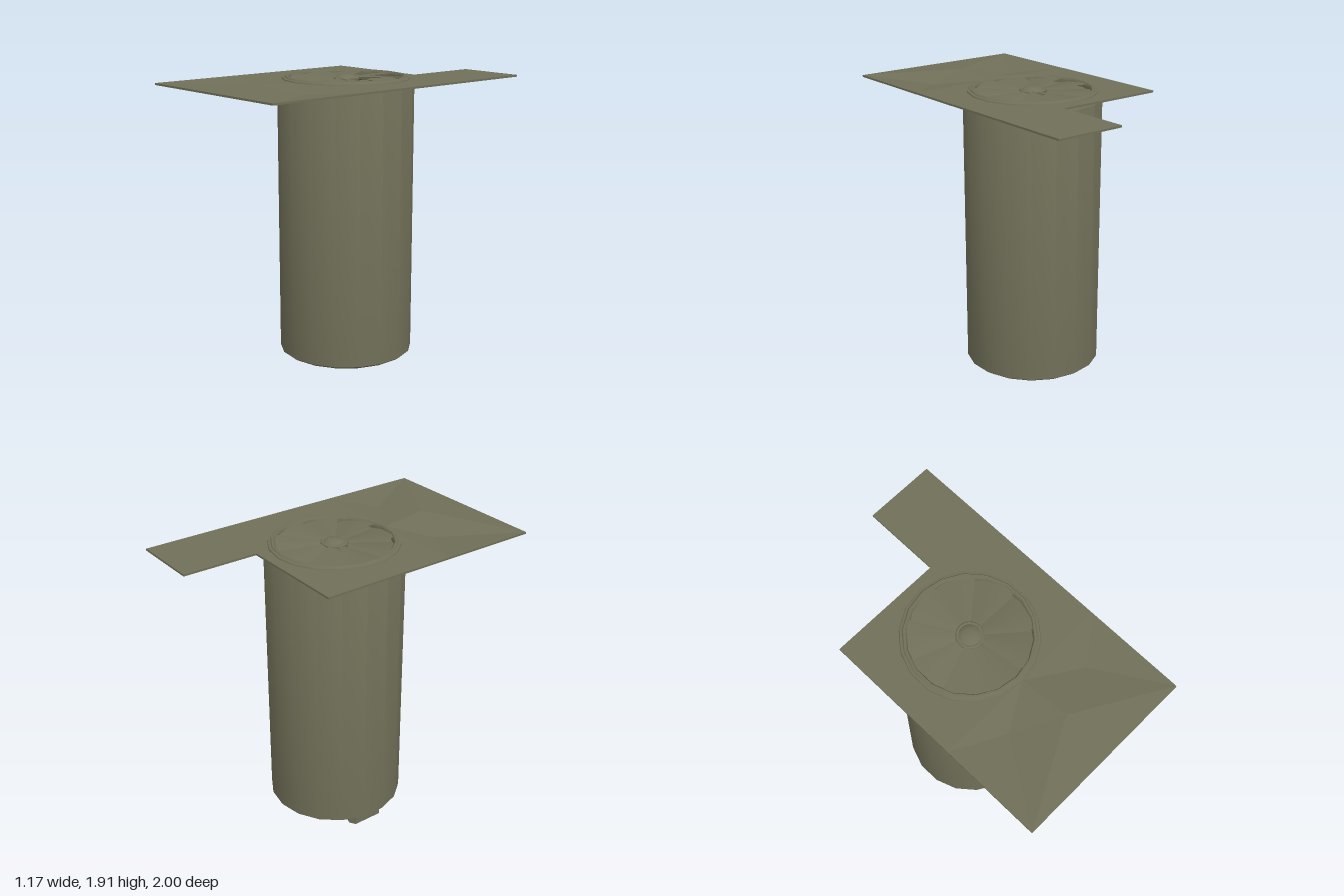
import * as THREE from 'three';
import { toCreasedNormals } from 'three/addons/utils/BufferGeometryUtils.js';

const CX = -0.01, CZ = -0.042; // axis of the drum
const PLATE_Y = 1.872, THICK = 0.012;

export function createModel() {
  const group = new THREE.Group();
  const olive = new THREE.MeshStandardMaterial({ color: 0x706f58, side: THREE.DoubleSide });
  olive.name = 'oliveMetal';

  const add = (name, geometry, x = 0, z = 0) => {
    const mesh = new THREE.Mesh(geometry, olive);
    mesh.name = name;
    mesh.position.set(x, 0, z);
    group.add(mesh);
    return mesh;
  };
  const lathe = (points, sides, crease = 0.6) => toCreasedNormals(
    new THREE.LatheGeometry(points.map(([r, y]) => new THREE.Vector2(r, y)), sides), crease);
  // Flat outline in x, z pushed upward
  const slab = (outline, y, height, hole) => {
    const shape = new THREE.Shape(outline.map(([x, z]) => new THREE.Vector2(x, -z)));
    if (hole) shape.holes.push(hole);
    return new THREE.ExtrudeGeometry(shape, { depth: height, bevelEnabled: false, curveSegments: 9 })
      .rotateX(-Math.PI / 2).translate(0, y, 0);
  };

  // Drum with chamfered ends
  add('drum', lathe([[0, 0.085], [0.41, 0.085], [0.435, 0.102], [0.435, 1.845],
    [0.42, 1.865], [0, 1.865]], 18, 0.7), CX, CZ);

  // Flat plate with a rear tab and the fan opening
  const opening = new THREE.Path().absarc(CX, -CZ, 0.37, 0, Math.PI * 2, true);
  add('topPlate', slab([[-0.59, 0.36], [0.585, 0.36], [0.585, -1], [0.135, -1],
    [0.135, -0.51], [-0.59, -0.51]], PLATE_Y, THICK, opening));

  // Dented front half of the plate
  add('dentedPlate', dentedSheet());

  // Raised rim around the fan
  add('fanRim', lathe([[0.41, 1.88], [0.405, 1.892], [0.39, 1.894], [0.383, 1.902],
    [0.37, 1.902], [0.362, 1.89], [0.362, 1.862]], 18), CX, CZ);

  // Nine overlapping pitched blades
  for (let i = 0; i < 9; i++) {
    const blade = add('fanBlade', bladeGeometry(), CX, CZ);
    blade.rotation.y = i * Math.PI * 2 / 9;
  }

  // Hub collar and dome
  add('fanHub', lathe([[0.085, 1.862], [0.085, 1.89], [0.078, 1.896], [0.066, 1.894],
    [0.056, 1.902], [0.035, 1.909], [0, 1.912]], 18), CX, CZ);

  // Bottom pivot and wedge-shaped foot
  add('pivot', lathe([[0, 0.065], [0.075, 0.065], [0.085, 0.075], [0.085, 0.09]], 16), CX, CZ);
  add('wedgeFoot', slab([[-0.09, -0.075], [-0.09, -0.005], [-0.33, 0.085], [-0.37, 0.06],
    [-0.37, -0.135], [-0.33, -0.16]], 0, 0.07));

  return group;
}

// Curved fan blade, high on one edge and low on the other
function bladeGeometry() {
  const steps = 5, position = [], index = [];
  for (let i = 0; i <= steps; i++) {
    const t = i / steps, a = t * Math.PI * 2 / 9;
    const y = 1.868 + 0.028 * Math.cos(t * Math.PI / 2);
    for (const [r, h] of [[0.08, 0.5], [0.365, 1]]) {
      position.push(r * Math.cos(a), 1.882 + (y - 1.882) * h, -r * Math.sin(a));
    }
    if (i < steps) {
      const k = i * 2;
      index.push(k, k + 1, k + 3, k, k + 3, k + 2);
    }
  }
  const geometry = new THREE.BufferGeometry();
  geometry.setAttribute('position', new THREE.Float32BufferAttribute(position, 3));
  geometry.setIndex(index);
  geometry.computeVertexNormals();
  return geometry;
}

// Sheet with a few displaced points, given thickness by a second layer
function dentedSheet() {
  const points = [
    [-0.59, 0.36, 0], [0.585, 0.36, 0], [0.585, 1, 0], [-0.03, 1, 0], [-0.59, 1, 0],
    [0.02, 0.68, 0.02], [-0.27, 0.52, -0.022], [0.32, 0.56, -0.022], [0, 0.36, 0],
  ];
  const faces = [[0, 4, 6], [4, 5, 6], [4, 3, 5], [3, 2, 5], [2, 7, 5],
    [2, 1, 7], [1, 8, 7], [8, 5, 7], [8, 6, 5], [8, 0, 6]];
  const rim = [0, 4, 3, 2, 1];
  const n = points.length, position = [], index = [];
  for (const y of [PLATE_Y + THICK, PLATE_Y]) {
    for (const [x, z, h] of points) position.push(x, y + h, z);
  }
  for (const [a, b, c] of faces) index.push(a, b, c, a + n, c + n, b + n);
  for (let i = 0; i < rim.length - 1; i++) {
    const a = rim[i], b = rim[i + 1];
    index.push(a + n, b + n, b, a + n, b, a);
  }
  const geometry = new THREE.BufferGeometry();
  geometry.setAttribute('position', new THREE.Float32BufferAttribute(position, 3));
  geometry.setIndex(index);
  const flat = geometry.toNonIndexed();
  flat.computeVertexNormals();
  return flat;
}
